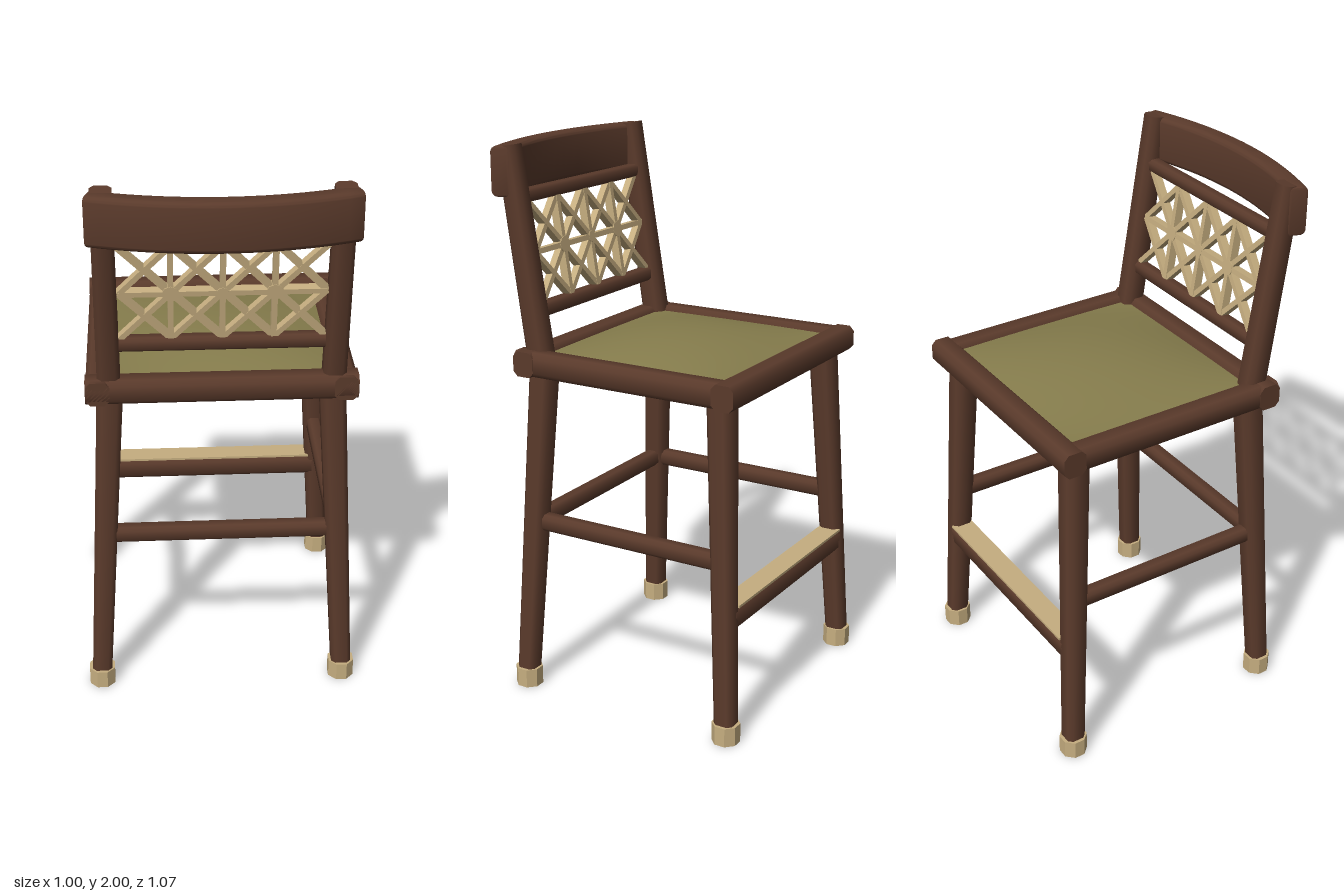
import * as THREE from 'three';
import { toCreasedNormals } from 'three/addons/utils/BufferGeometryUtils.js';

const mat = (name, color, extra = {}) => new THREE.MeshStandardMaterial({ name, color, ...extra });

export function createModel() {
  const wood = mat('dark wood', 0x5a3a2b);
  const tan = mat('pale tan', 0xc6ae80);
  const olive = mat('olive fabric', 0x857c4c);
  const model = new THREE.Group();
  const V = (x, y, z) => new THREE.Vector3(x, y, z);
  const UP = V(0, 1, 0);

  const add = (name, geo, material, parent = model) => {
    const mesh = new THREE.Mesh(geo, material);
    mesh.name = name;
    parent.add(mesh);
    return mesh;
  };

  // Soft-edged square bar from a to b; w and d are its section, taper scales the end at b
  const bar = (name, a, b, w, d = w, taper = 1, flat = 0.6) => {
    const len = a.distanceTo(b);
    let geo = new THREE.CylinderGeometry(1, 1, len, 8, 1, false, Math.PI / 8);
    const p = geo.attributes.position;
    const side = v => (Math.abs(v) > 0.6 ? Math.sign(v) : Math.abs(v) > 0.1 ? Math.sign(v) * flat : 0);
    for (let i = 0; i < p.count; i++) {
      const s = p.getY(i) > 0 ? taper : 1;
      p.setX(i, side(p.getX(i)) * s * w / 2);
      p.setZ(i, side(p.getZ(i)) * s * d / 2);
    }
    const mesh = add(name, geo, wood);
    mesh.position.copy(a).add(b).multiplyScalar(0.5);
    mesh.quaternion.setFromUnitVectors(UP, b.clone().sub(a).normalize());
    return mesh;
  };

  // Splayed legs with faceted tan feet; z pairs are [top, bottom]
  for (const s of [-1, 1]) {
    for (const [zt, zb] of [[0.292, 0.352], [-0.422, -0.49]]) {
      bar('leg', V(s * 0.452, 0.05, zb), V(s * 0.382, 1.27, zt), 0.072, 0.072, 1.27);
      const foot = new THREE.CylinderGeometry(0.0505, 0.0505, 0.07, 8, 1, false, Math.PI / 8)
        .toNonIndexed();
      foot.computeVertexNormals();
      add('foot', foot, tan).position.set(s * 0.452, 0.035, zb);
    }
    // Side seat rail, side stretcher and leaning back post
    bar('sideSeatRail', V(s * 0.425, 1.245, -0.45), V(s * 0.425, 1.245, 0.37), 0.082, 0.088);
    bar('sideStretcher', V(s * 0.416, 0.65, -0.455), V(s * 0.416, 0.65, 0.325), 0.055, 0.06);
    bar('backPost', V(s * 0.387, 1.25, 0.304), V(s * 0.387, 1.995, 0.42), 0.08, 0.088, 0.9);
  }

  // Cross rails
  bar('frontSeatRail', V(-0.468, 1.245, -0.468), V(0.468, 1.245, -0.468), 0.09, 0.084);
  bar('rearSeatRail', V(-0.468, 1.245, 0.328), V(0.468, 1.245, 0.328), 0.09, 0.084);
  bar('rearStretcher', V(-0.41, 0.65, 0.322), V(0.41, 0.65, 0.322), 0.06, 0.055);
  bar('lowerBackRail', V(-0.37, 1.42, 0.33), V(0.37, 1.42, 0.33), 0.05);
  bar('upperBackRail', V(-0.37, 1.818, 0.39), V(0.37, 1.818, 0.39), 0.046, 0.05);

  // Footrest with a tan tread plate
  bar('footrest', V(-0.415, 0.448, -0.467), V(0.415, 0.448, -0.467), 0.088, 0.08);
  add('footrestPlate', new THREE.BoxGeometry(0.81, 0.009, 0.082), tan).position.set(0, 0.494, -0.47);

  // Domed seat pad
  const seat = new THREE.BoxGeometry(0.79, 0.03, 0.73, 16, 1, 16);
  const sp = seat.attributes.position;
  for (let i = 0; i < sp.count; i++) {
    const u = sp.getX(i) / 0.395, v = sp.getZ(i) / 0.365;
    sp.setY(i, sp.getY(i) + 0.05 * (1 - u * u) * (1 - v * v));
  }
  add('seatPad', toCreasedNormals(seat, 0.6), olive).position.set(0, 1.255, -0.07);

  // Bowed top rail: rounded section swept along x, then bent in plan
  const hw = 0.037, hh = 0.087, r = 0.022;
  const sec = new THREE.Shape();
  [[1, 1, 0], [-1, 1, 1], [-1, -1, 2], [1, -1, 3]].forEach(([sx, sy, q]) =>
    sec.absarc(sx * (hw - r), sy * (hh - r), r, q * Math.PI / 2, (q + 1) * Math.PI / 2, false));
  const top = new THREE.ExtrudeGeometry(sec, {
    depth: 0.85, steps: 20, curveSegments: 4,
    bevelThickness: 0.008, bevelSize: 0.008, bevelOffset: -0.008, bevelSegments: 2,
  });
  top.translate(0, 0, -0.425).rotateY(Math.PI / 2);
  const tp = top.attributes.position;
  for (let i = 0; i < tp.count; i++) {
    const x = tp.getX(i), off = tp.getZ(i), slope = -0.8 * x;
    const n = Math.hypot(1, slope);
    tp.setX(i, x - off * slope / n);
    tp.setZ(i, 0.499 - 0.4 * x * x + off / n);
  }
  add('topRail', toCreasedNormals(top, 0.7), wood).position.y = 1.907;

  // Woven lattice: two rows of four crossed cells, leaning with the posts
  const lattice = new THREE.Group();
  lattice.name = 'backLattice';
  lattice.position.set(0, 1.62, 0.36);
  lattice.rotation.x = 0.154;
  model.add(lattice);
  const strand = (x0, y0, x1, y1, depth) => {
    const geo = new THREE.BoxGeometry(Math.hypot(x1 - x0, y1 - y0), 0.019, depth);
    const m = add('latticeStrand', geo, tan, lattice);
    m.position.set((x0 + x1) / 2, (y0 + y1) / 2, 0);
    m.rotation.z = Math.atan2(y1 - y0, x1 - x0);
  };
  const cw = 0.172, ch = 0.18;
  strand(-2 * cw, 0, 2 * cw, 0, 0.034);
  for (const x of [-cw, 0, cw]) strand(x, -ch, x, ch, 0.032);
  for (let c = -2; c < 2; c++) {
    for (const y of [-ch, 0]) {
      strand(c * cw, y, (c + 1) * cw, y + ch, 0.03);
      strand(c * cw, y + ch, (c + 1) * cw, y, 0.028);
    }
  }
  // Knots where the strands meet
  for (const x of [-cw, 0, cw]) {
    const knot = new THREE.CylinderGeometry(x ? 0.03 : 0.022, x ? 0.03 : 0.022, 0.036, 8);
    knot.rotateX(Math.PI / 2);
    add('latticeKnot', knot, tan, lattice).position.set(x, 0, 0);
  }
  return model;
}
